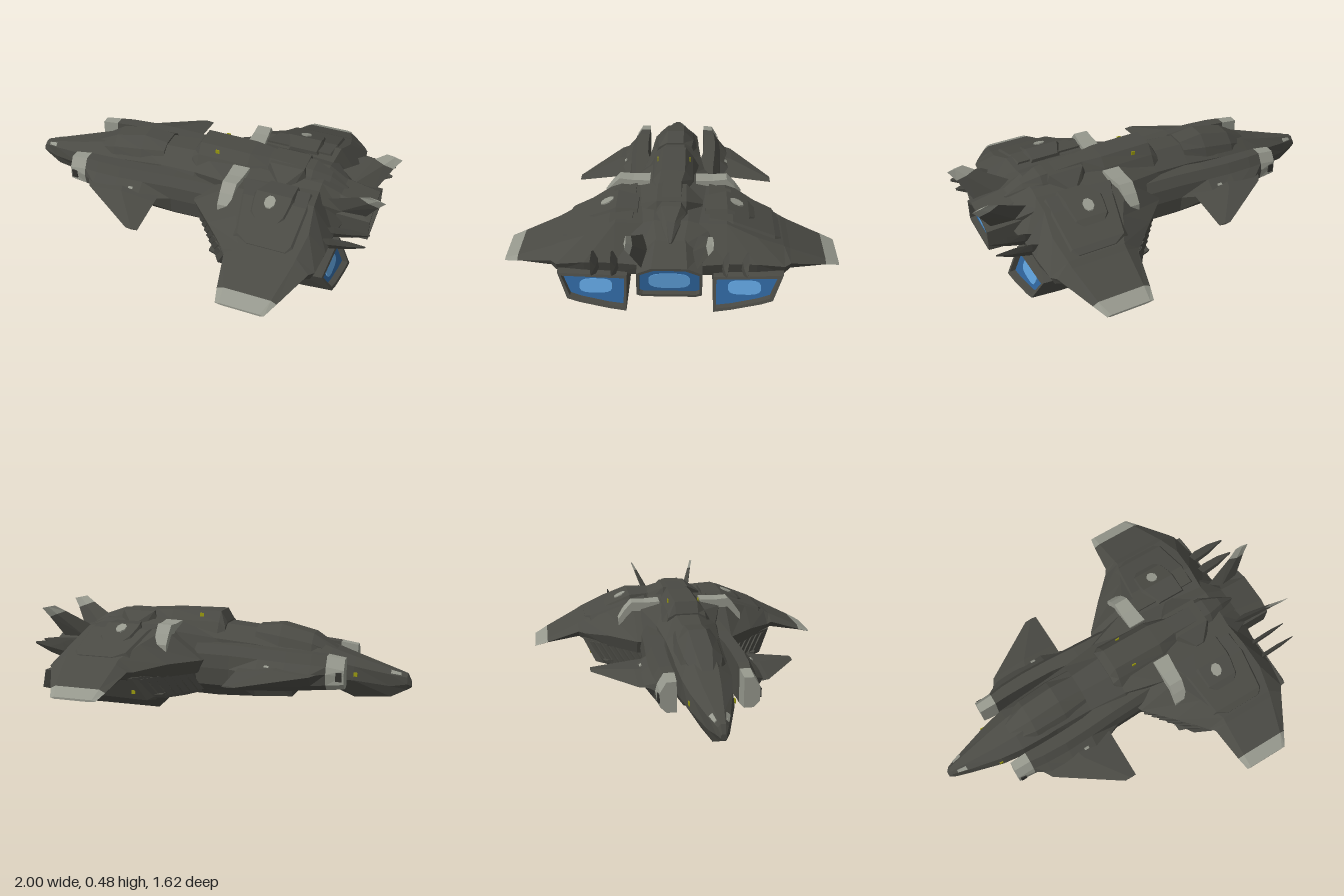
import * as THREE from 'three';

const mat = (name, color) => Object.assign(new THREE.MeshStandardMaterial({ color }), { name });

// Closed faceted solid through rings of [x, y, z] points; winding is fixed by signed volume
function loft(rings) {
  const tris = [];
  const n = rings[0].length;
  for (let i = 0; i < rings.length - 1; i++) {
    for (let j = 0; j < n; j++) {
      const k = (j + 1) % n;
      const a = rings[i][j], b = rings[i][k], c = rings[i + 1][k], d = rings[i + 1][j];
      tris.push([a, b, c], [a, c, d]);
    }
  }
  const cap = (ring, flip) => {
    const mid = [0, 1, 2].map(q => ring.reduce((s, p) => s + p[q], 0) / n);
    ring.forEach((p, j) => {
      const q = ring[(j + 1) % n];
      tris.push(flip ? [mid, q, p] : [mid, p, q]);
    });
  };
  cap(rings[0], true);
  cap(rings[rings.length - 1], false);
  const v = p => new THREE.Vector3(...p);
  const origin = v(rings[0][0]);
  let volume = 0;
  for (const [a, b, c] of tris) {
    volume += v(a).sub(origin).dot(v(b).sub(origin).cross(v(c).sub(origin)));
  }
  const flat = tris.flatMap(([a, b, c]) => (volume < 0 ? [a, c, b] : [a, b, c])).flat();
  const g = new THREE.BufferGeometry();
  g.setAttribute('position', new THREE.Float32BufferAttribute(flat, 3));
  g.computeVertexNormals();
  return g;
}

// Symmetric ring at x from a half profile of [z, y], top to bottom
const ring = (x, half) => [
  ...half.map(([z, y]) => [x, y, z]),
  ...[...half].reverse().map(([z, y]) => [x, y, -z]),
];
const shift = (pts, dx, dy, dz) => pts.map(([x, y, z]) => [x + dx, y + dy, z + dz]);
const mirrorZ = rings => rings.map(r => r.map(([x, y, z]) => [x, y, -z]));

export function createModel() {
  const model = new THREE.Group();
  const hull = mat('hull olive grey', 0x4a4a44);
  const trim = mat('dark trim', 0x32322e);
  const pale = mat('pale grey panel', 0x96988d);
  const blue = mat('engine blue', 0x2c6096);
  const glow = mat('engine glow', 0x5a9ad2);
  const yellow = mat('yellow mark', 0x99990f);

  const add = (name, rings, material) => {
    const m = new THREE.Mesh(loft(rings), material);
    m.name = name;
    model.add(m);
  };
  const pair = (name, rings, material) => {
    add(name + 'Left', rings, material);
    add(name + 'Right', mirrorZ(rings), material);
  };

  // Fuselage, nose to tail
  add('fuselage', [
    [-1.0, [[.008, .16], [.012, .155], [.015, .14], [.008, .13]]],
    [-.98, [[.012, .2], [.025, .185], [.03, .15], [.015, .12]]],
    [-.9, [[.022, .225], [.05, .2], [.052, .14], [.03, .08]]],
    [-.72, [[.045, .28], [.1, .24], [.11, .17], [.05, .07]]],
    [-.6, [[.055, .32], [.122, .27], [.125, .17], [.06, .12]]],
    [-.45, [[.055, .37], [.13, .29], [.135, .16], [.07, .11]]],
    [-.4, [[.05, .38], [.13, .3], [.135, .16], [.08, .05]]],
    [-.2, [[.05, .4], [.14, .33], [.16, .18], [.1, .04]]],
    [0, [[.06, .415], [.16, .35], [.24, .19], [.1, .03]]],
    [.2, [[.09, .42], [.22, .385], [.2, .15], [.055, .02]]],
    [.66, [[.08, .41], [.2, .375], [.15, .13], [.055, .02]]],
    [.78, [[.06, .35], [.14, .31], [.14, .15], [.06, .1]]],
  ].map(s => ring(...s)), hull);
  const streak = [[-.95, .204, .0214], [-.95, .193, .032], [-.9, .2025, .047], [-.9, .2175, .03]];
  pair('noseStreak', [streak, shift(streak, 0, .004, .003)], pale);

  // Cockpit canopy
  add('canopy', [
    [-.66, [[.02, .29], [.05, .27], [.05, .25]]],
    [-.5, [[.045, .385], [.095, .34], [.11, .3]]],
    [-.33, [[.045, .425], [.1, .37], [.12, .32]]],
    [-.2, [[.045, .41], [.09, .385], [.11, .34]]],
  ].map(s => ring(...s)), hull);

  // Raised spine with a crosswise saddle
  add('spine', [
    [-.035, [[.06, .42], [.1, .4], [.11, .37]]],
    [0, [[.06, .477], [.1, .425], [.13, .37]]],
    [.27, [[.06, .473], [.1, .425], [.13, .37]]],
    [.37, [[.045, .466], [.07, .425], [.11, .37]]],
    [.6, [[.045, .452], [.07, .42], [.1, .37]]],
    [.69, [[.02, .42], [.04, .4], [.07, .34]]],
    [.78, [[.004, .36], [.008, .35], [.02, .33]]],
  ].map(s => ring(...s)), hull);
  add('saddle', [[-.15, .02, .405], [-.07, .09, .457], [.07, .09, .457], [.15, .02, .405]].map(([z, w, y]) => [
    [.47 - w, y, z], [.47 + w, y, z], [.5 + w, .37, z], [.44 - w, .37, z]]), hull);

  // Central tail block with a recessed exhaust
  const exhaust = [[.07, .307], [.134, .283], [.135, .19], [.12, .183]];
  add('tailBlock', [
    [.6, [[.08, .4], [.16, .34], [.15, .18], [.1, .12]]],
    [.76, [[.07, .36], [.15, .3], [.15, .18], [.11, .14]]],
    [.93, [[.08, .318], [.147, .29], [.147, .18], [.12, .172]]],
    [.93, exhaust], [.895, exhaust],
  ].map(s => ring(...s)), hull);
  add('centreExhaust', [ring(.894, exhaust), ring(.9, exhaust)], blue);

  // Rounded-off rectangle of glow laid over an exhaust; slope leans it forward with height
  const bulge = c => Math.sign(c) * Math.abs(c) ** .65;
  const spot = (x, y, z, ry, rz, slope) => {
    const pts = Array.from({ length: 16 }, (_, i) => {
      const a = (i + .5) * Math.PI / 8;
      const dy = bulge(Math.sin(a)) * ry;
      return [x - dy * slope, y + dy, z + bulge(Math.cos(a)) * rz];
    });
    return [pts, shift(pts, .006, 0, 0)];
  };
  add('centreGlow', spot(.897, .237, 0, .038, .094, 0), glow);

  // Wings: leading x, top front x, top rear x, trailing x, edge y, top y, bottom y
  const wing = ([z, xl, xa, xb, xt, ye, yt, yb]) => [
    [xl, ye, z], [xa, yt, z], [xb, yt, z], [xt, ye, z], [xt - .02, yb, z], [xl + .03, yb, z],
  ];
  const tipRoot = [.738, .353, .385, .62, .648, .172, .187, .16];
  pair('wing', [
    [.12, 0, .2, .66, .8, .25, .395, .19],
    [.26, .04, .24, .67, .78, .25, .4, .18],
    [.4, .17, .32, .69, .78, .25, .342, .18],
    [.53, .298, .38, .67, .765, .23, .288, .185],
    [.56, .32, .38, .665, .742, .235, .27, .2],
    tipRoot,
  ].map(wing), hull);
  pair('wingTip', [tipRoot, [.808, .37, .39, .59, .61, .147, .152, .142]].map(wing), pale);

  // Stepped armour plates on the wing roots: z, front x, rear x, top y
  const plate = (name, rows, bevel) => pair(name, rows.map(([z, x0, x1, y]) => [
    [x0, y - .035, z], [x0 + bevel, y, z], [x1 - bevel, y, z], [x1, y - .035, z],
  ]), hull);
  plate('outerArmour', [[.18, .25, .66, .408], [.29, .29, .67, .397], [.49, .33, .66, .316], [.52, .39, .64, .296]], .03);
  plate('innerArmour', [[.16, .4, .58, .415], [.265, .36, .58, .42], [.3, .36, .58, .405], [.37, .37, .57, .375], [.41, .41, .54, .345]], .02);

  // Pale panels: shoulder straps, and round markers above and below the wings
  pair('shoulderStrap', [[.115, .425], [.2, .422], [.27, .427], [.31, .385], [.345, .335]].map(([z, y]) => {
    const x1 = .29 - (z - .115) * .1;
    return [[.2, y - .05, z], [.2, y, z], [x1, y + .002, z], [x1, y - .05, z]];
  }), pale);
  const marker = (name, x, y, z, slope, lift) => {
    const pts = Array.from({ length: 8 }, (_, i) => {
      const a = (i + .5) * Math.PI / 4;
      const dz = Math.sin(a) * .033;
      return [x + Math.cos(a) * .028, y - dz * slope, z + dz];
    });
    pair(name, [pts, shift(pts, 0, lift, 0)], pale);
  };
  marker('marker', .463, .4, .314, .43, .007);
  marker('underWingMarker', .5, .184, .64, .225, -.006);

  // Forward nacelles with pale noses, and canards
  const nacelle = ([x, zi, zo, zb, y0, y1]) => [
    [x, y1, zi], [x, y1, zo - .03], [x, y1 - .05, zo], [x, (y0 + y1) / 2, zb],
    [x, y0 + .03, zo], [x, y0, zo - .03], [x, y0, zi],
  ];
  const collar = [-.605, .157, .24, .25, .135, .31];
  pair('nacelleNose', [[-.695, .16, .238, .238, .145, .297], collar].map(nacelle), pale);
  pair('nacelle', [collar, [-.53, .16, .25, .295, .13, .315], [-.4, .16, .255, .32, .115, .32],
    [-.26, .155, .25, .32, .105, .325], [-.1, .13, .24, .25, .09, .33], [.15, .1, .23, .24, .09, .33],
  ].map(nacelle), hull);
  pair('nacelleVent', [-.685, -.655].map(x => [
    [x, .19, .23], [x, .235, .23], [x, .235, .247], [x, .19, .247]]), trim);
  const dash = [[-.325, .249, .278], [-.3, .249, .278], [-.3, .241, .288], [-.325, .241, .288]];
  pair('nacelleDash', [dash, shift(dash, 0, .005, .004)], pale);
  pair('canard', [[.22, -.6, -.16, .23, .025], [.32, -.54, -.16, .22, .022], [.53, -.225, -.16, .195, .004]]
    .map(([z, x0, x1, y, t]) => [
      [x0, y, z], [(x0 + x1) / 2, y + t, z], [x1, y, z], [(x0 + x1) / 2, y - t, z]]), hull);

  // Engine pods under the wings, hollowed at the rear
  const rear = (pts, dx) => pts.map(([z, y]) => [.802 + (.195 - y) * .43 + dx, y, z]);
  const rim = [[.2, .195], [.522, .203], [.475, .095], [.42, .08], [.28, .055], [.2, .045]];
  const outlet = [[.213, .183], [.505, .191], [.462, .106], [.41, .091], [.285, .068], [.213, .06]];
  pair('enginePod', [
    [[.05, .2, .2], [.31, .2, .54], [.255, .075, .475], [.22, .07, .42], [.12, .065, .28], [.06, .07, .2]],
    [[.68, .2, .2], [.68, .205, .535], [.7, .085, .48], [.7, .075, .42], [.7, .055, .28], [.7, .045, .2]],
    rear(rim, 0), rear(outlet, 0), rear(outlet, -.035),
  ], hull);
  pair('podExhaust', [rear(outlet, -.036), rear(outlet, -.03)], blue);
  pair('podGlow', spot(.796, .137, .345, .03, .077, .43), glow);

  // Belly fairing below each pod
  pair('podBelly', [[.19, .06, .02], [.25, .001, 0], [.68, 0, 0], [.73, .05, .01]].map(([x, y, s]) => [
    [x, .1, .2], [x, .1, .45 - s], [x, Math.max(y, .08), .44 - s], [x, y + .016, .375],
    [x, y, .325], [x, y + .022, .25], [x, Math.max(y, .05), .2]]), hull);

  // Slanted louvre slats along the pod fronts
  const slatEdge = (t, y) => [[t, -.012], [t, .008], [t + .075, .001], [t + .075, -.012]].map(([u, out]) => [
    .05 + .26 * u - .79 * out, y, .2 + .34 * u + .61 * out]);
  for (let i = 0; i < 7; i++) {
    const t = .2 + i * .105;
    pair('louvre' + (i + 1), [slatEdge(t - .19, .085), slatEdge(t, .188)], hull);
  }

  // Tail fins with pale tips
  const fin = ([x0, x1, y0, y1, z, t]) => [
    [x0, y0, z], [(x0 + x1) / 2, (y0 + y1) / 2, z + t], [x1, y1, z], [(x0 + x1) / 2, (y0 + y1) / 2, z - t]];
  const finTop = [.865, .965, .447, .41, .17, .009];
  pair('tailFin', [[.66, .89, .335, .28, .115, .022], finTop].map(fin), hull);
  pair('tailFinTip', [finTop, [.92, 1, .478, .46, .19, .004]].map(fin), pale);

  // Paired swept spikes on the trailing edge
  for (const [i, z] of [.255, .345].entries()) {
    pair('spike' + (i + 1), [
      [.7, .26, .004, .01], [.78, .268, .012, .045], [.87, .285, .011, .035], [.955, .3, .002, .006],
    ].map(([x, y, w, h]) => [
      [x, y + h, z + .016 * h / .045], [x, y, z + w], [x, y - h, z - .016 * h / .045], [x, y, z - w]]), hull);
  }

  // Small yellow service marks
  const mark = (name, x, y, z) => pair(name, [z, z + .005].map(q => [
    [x - .01, y - .01, q], [x + .01, y - .01, q], [x + .01, y + .01, q], [x - .01, y + .01, q]]), yellow);
  mark('noseMark', -.73, .2, .106);
  mark('spineMark', .1, .455, .08);
  mark('podMark', .315, .12, .499);

  return model;
}
